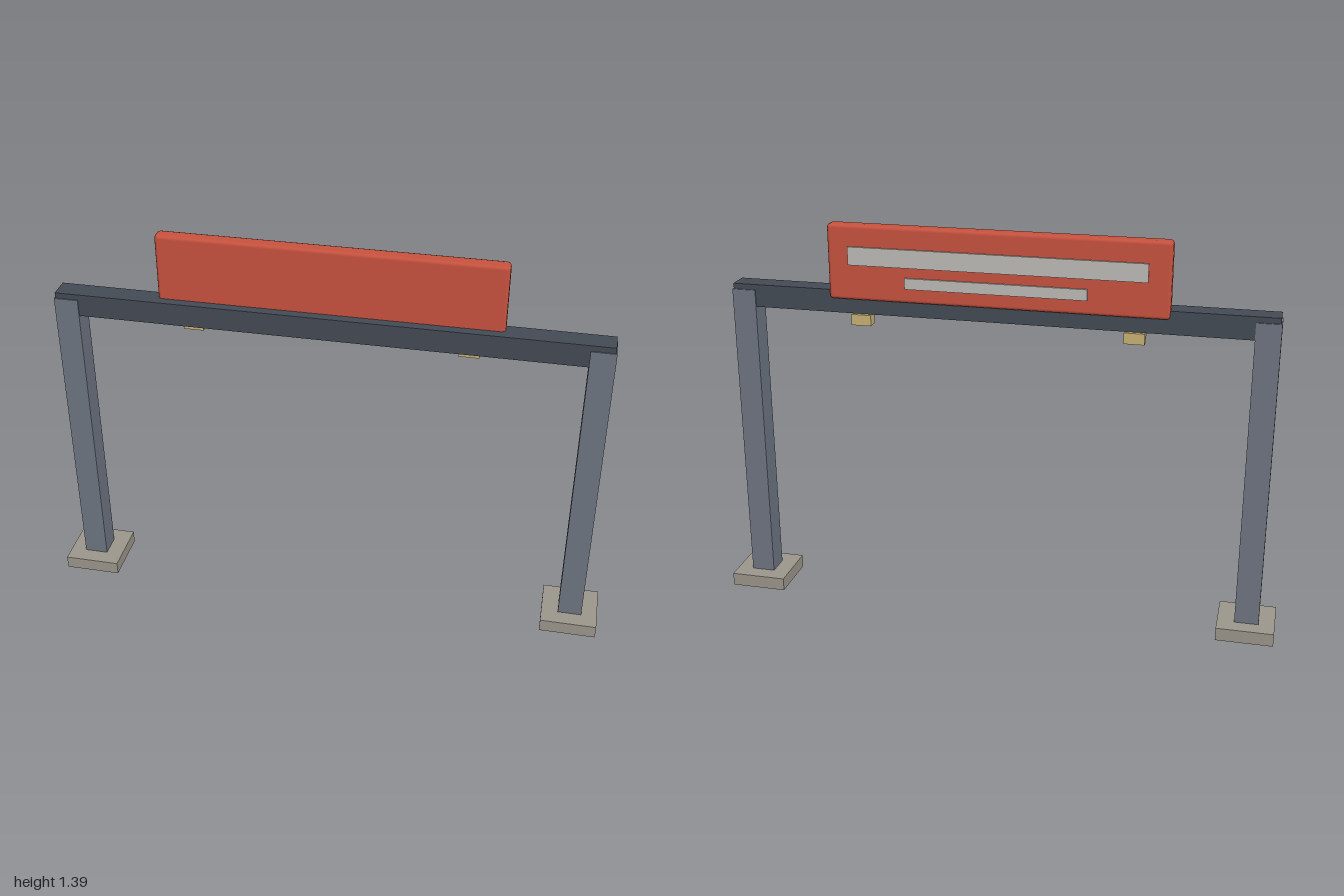
import * as THREE from 'three';
import { RoundedBoxGeometry } from 'three/addons/geometries/RoundedBoxGeometry.js';

function material(name, color) {
  const m = new THREE.MeshStandardMaterial({ color });
  m.name = name;
  return m;
}

export function createModel() {
  const model = new THREE.Group();
  model.name = 'signGantry';

  const concrete = material('concrete', 0x9c968b);
  const steel = material('greySteel', 0x6e7582);
  const darkSteel = material('darkSteel', 0x444b55);
  const red = material('redPanel', 0xc8523f);
  const silver = material('silverStrip', 0xbebbb6);
  const brass = material('brassLamp', 0xc8b276);

  // Box given by its minimum and maximum corners
  function box(name, mat, [x0, y0, z0], [x1, y1, z1]) {
    const mesh = new THREE.Mesh(new THREE.BoxGeometry(x1 - x0, y1 - y0, z1 - z0), mat);
    mesh.position.set((x0 + x1) / 2, (y0 + y1) / 2, (z0 + z1) / 2);
    mesh.name = name;
    model.add(mesh);
  }

  // Footing, post and lamp on each side
  for (const [side, s] of [['left', 1], ['right', -1]]) {
    const pair = (name, mat, x, halfWidth, y0, y1, z0, z1) =>
      box(side + name, mat, [s * x - halfWidth, y0, z0], [s * x + halfWidth, y1, z1]);
    pair('Footing', concrete, 0.9, 0.1, 0, 0.047, -0.1, 0.1);
    pair('Post', steel, 0.902, 0.042, 0.047, 1.14, -0.042, 0.042);
    pair('Lamp', brass, 0.471, 0.035, 1.042, 1.08, -0.052, -0.012);
  }

  // Cross beam
  box('crossBeam', darkSteel, [-0.94, 1.08, -0.038], [0.94, 1.16, 0.038]);

  // Sign panel with softened edges, set into the back of the beam
  const panel = new THREE.Mesh(new RoundedBoxGeometry(1.17, 0.262, 0.053, 1, 0.013), red);
  panel.position.set(0, 1.26, -0.0215);
  panel.name = 'signPanel';
  model.add(panel);

  // Raised strips on the back of the panel
  box('upperStrip', silver, [-0.51, 1.254, -0.055], [0.51, 1.317, -0.046]);
  box('lowerStrip', silver, [-0.312, 1.181, -0.055], [0.312, 1.219, -0.046]);

  return model;
}
